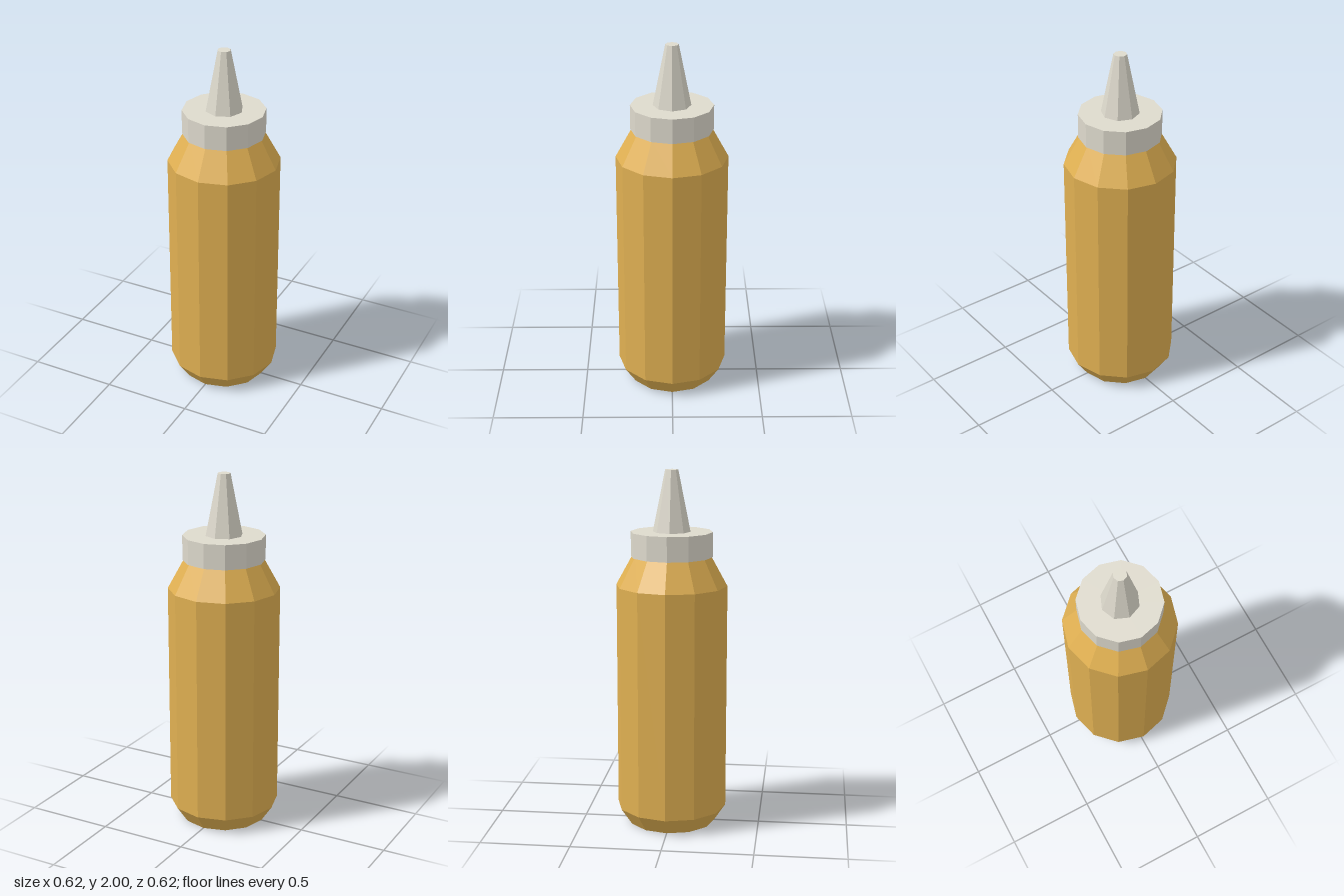
import * as THREE from 'three';

export function createModel() {
  const group = new THREE.Group();
  group.name = 'squeezeBottle';

  const mustard = new THREE.MeshStandardMaterial({ color: 0xe0b052, flatShading: true });
  mustard.name = 'mustard yellow';
  const white = new THREE.MeshStandardMaterial({ color: 0xdedacd, flatShading: true });
  white.name = 'warm white';

  // Faceted solid turned from [radius, height] pairs, bottom to top
  function turned(name, profile, sides, material) {
    const points = profile.map(([r, y]) => new THREE.Vector2(r, y));
    const geometry = new THREE.LatheGeometry(points, sides).toNonIndexed();
    geometry.computeVertexNormals();
    const mesh = new THREE.Mesh(geometry, material);
    mesh.name = name;
    group.add(mesh);
  }

  // Bottle body with bevelled base and sloping shoulder
  turned('body', [[0, 0], [0.245, 0], [0.309, 0.095], [0.309, 1.365], [0.218, 1.53], [0, 1.53]], 12, mustard);

  // Screw cap, slightly wider than the shoulder
  turned('cap', [[0, 1.525], [0.227, 1.525], [0.227, 1.662], [0, 1.662]], 12, white);

  // Tapered nozzle
  turned('nozzle', [[0.104, 1.662], [0.036, 2], [0, 2]], 8, white);

  return group;
}
